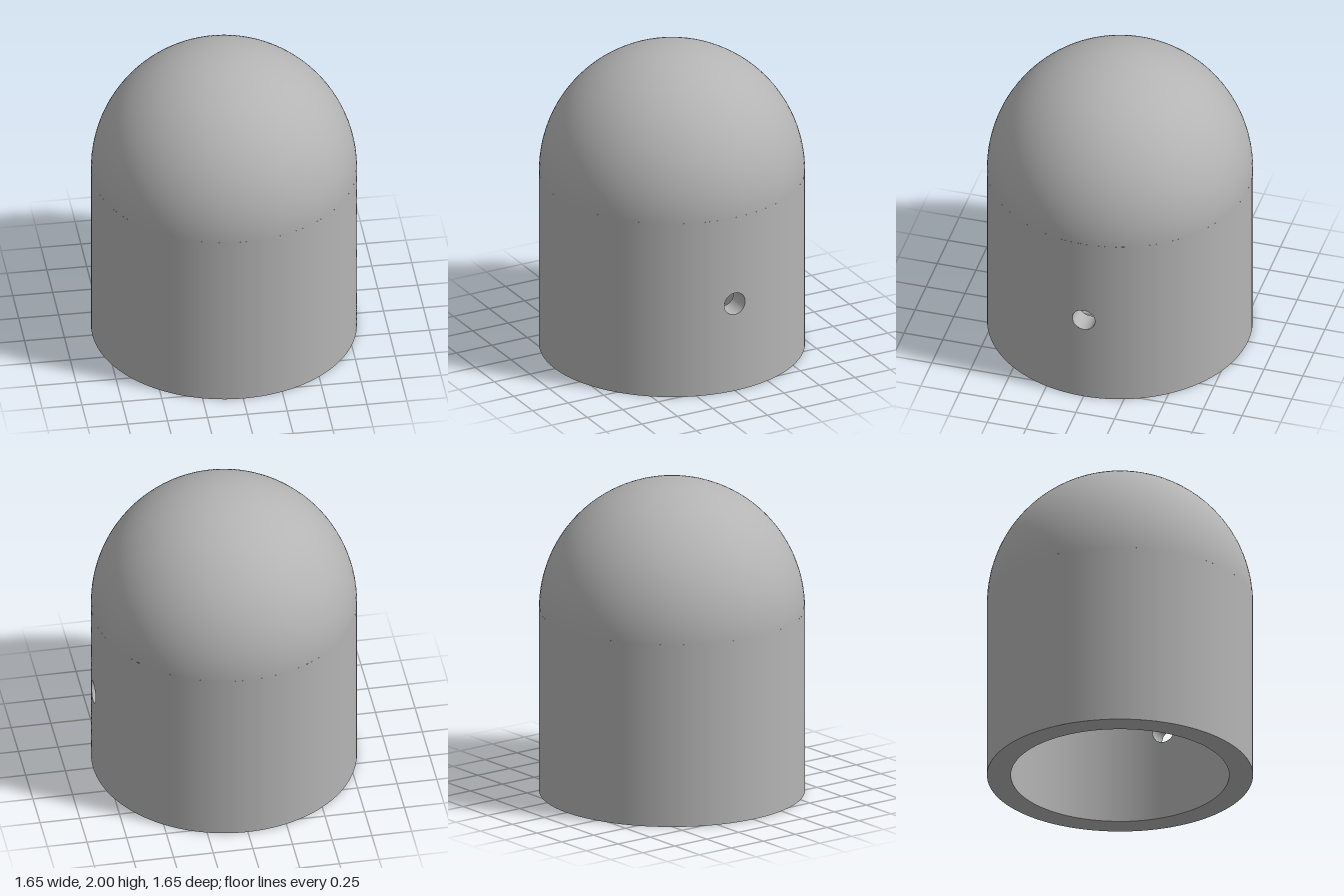
import * as THREE from 'three';
import { ParametricGeometry } from 'three/addons/geometries/ParametricGeometry.js';

const R = 0.825;      // outer radius
const BORE = 0.677;   // bore radius
const H = 1.175;      // height of the straight wall
const HOLE_Y = 0.59, HOLE_R = 0.073;
const A = 0.4;        // half angle of the wall patch around the hole

export function createModel() {
  const group = new THREE.Group();
  group.name = 'domedCap';
  const grey = new THREE.MeshStandardMaterial({ color: 0xb4b4b4, side: THREE.DoubleSide });
  grey.name = 'grey';
  const add = (name, geometry) => {
    const mesh = new THREE.Mesh(geometry, grey);
    mesh.name = name;
    group.add(mesh);
    return mesh;
  };

  // Curved wall patch at +x, spreading from the round hole to a rectangle
  const corners = [[-A, 0], [-A, H], [A, H], [A, 0]];
  const patch = (radius) => new ParametricGeometry((u, v, target) => {
    const s = u * 4, k = Math.min(Math.floor(s), 3), f = s - k;
    const p = corners[k], q = corners[(k + 1) % 4];
    const phi = p[0] + (q[0] - p[0]) * f, y = p[1] + (q[1] - p[1]) * f;
    const t = Math.atan2(y - HOLE_Y, phi * radius);
    const holePhi = Math.asin(HOLE_R * Math.cos(t) / radius);
    const holeY = HOLE_Y + HOLE_R * Math.sin(t);
    const a = holePhi + (phi - holePhi) * v;
    target.set(radius * Math.cos(a), holeY + (y - holeY) * v, radius * Math.sin(a));
  }, 128, 12);

  // Outer wall and bore: the rest of each cylinder plus the pierced patch
  for (const [name, radius] of [['outerWall', R], ['boreWall', BORE]]) {
    const rest = new THREE.CylinderGeometry(radius, radius, H, 96, 1, true,
      Math.PI / 2 + A, Math.PI * 2 - 2 * A);
    add(name, rest).position.y = H / 2;
    add(name + 'AroundHole', patch(radius));
  }

  // Side hole through the wall
  add('sideHole', new ParametricGeometry((u, v, target) => {
    const t = u * Math.PI * 2, z = HOLE_R * Math.cos(t);
    const inner = Math.sqrt(BORE * BORE - z * z), outer = Math.sqrt(R * R - z * z);
    target.set(inner + (outer - inner) * v, HOLE_Y + HOLE_R * Math.sin(t), z);
  }, 48, 1));

  // Hemispherical top
  add('dome', new THREE.SphereGeometry(R, 96, 32, 0, Math.PI * 2, 0, Math.PI / 2)).position.y = H;

  // Flat end of the bore and the rim at the open bottom
  const boreEnd = add('boreEnd', new THREE.CircleGeometry(BORE, 96));
  boreEnd.rotation.x = Math.PI / 2;
  boreEnd.position.y = H;
  add('bottomRim', new THREE.RingGeometry(BORE, R, 96)).rotation.x = Math.PI / 2;

  return group;
}
